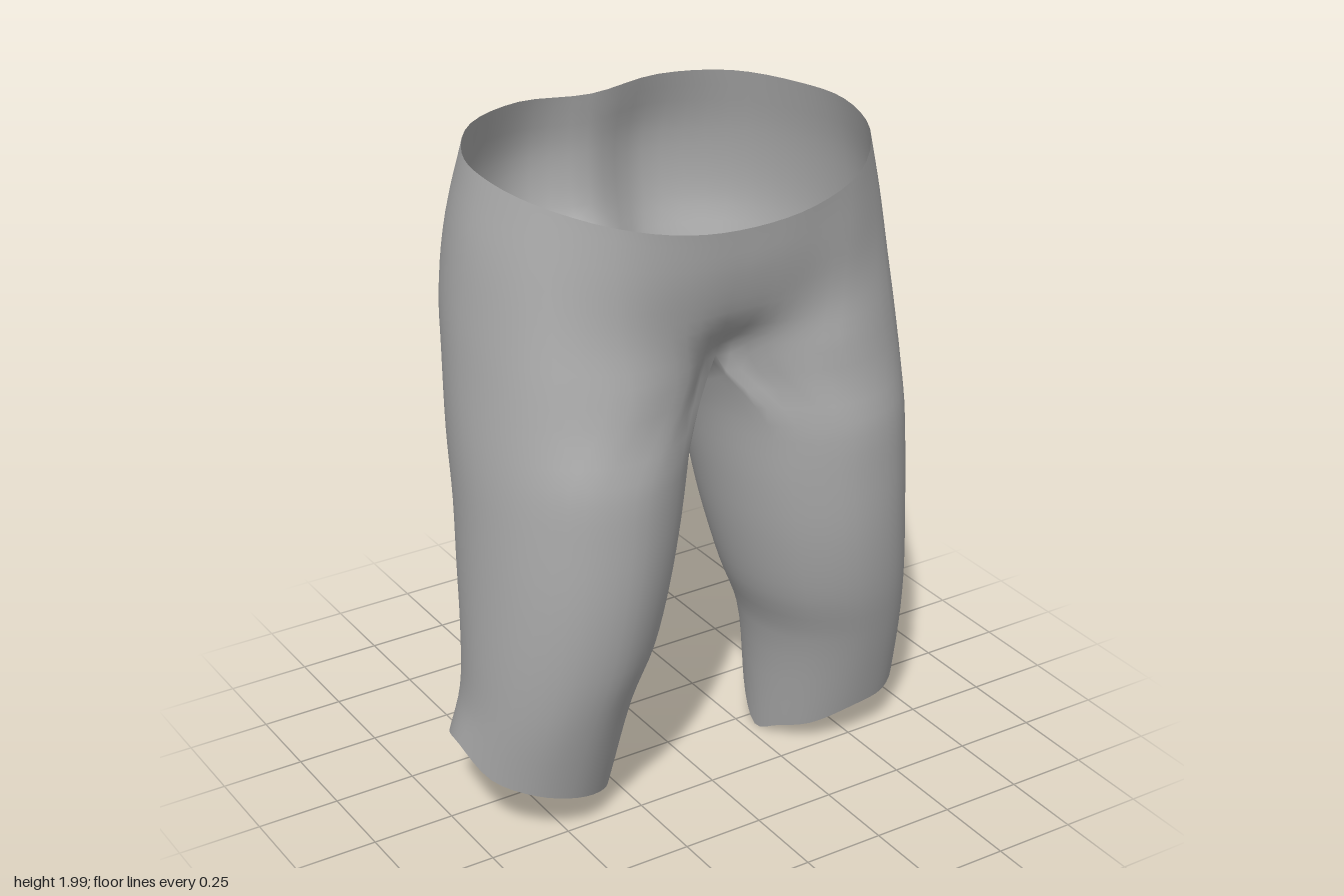
import * as THREE from 'three';
import { mergeVertices } from 'three/addons/utils/BufferGeometryUtils.js';

const V = (x, y, z) => new THREE.Vector3(x, y, z);
const OUT = 32, RING = 48, STEPS = 4;

// Column angles around a leg: front centre, outer side, back centre, inner thigh
const ANGLES = [130, 97.5, 65, 32.5, 0, -32.5, -65, -97.5, -130, -155, -180, -205];

// Uneven hem heights for each leg, one per column
const HEMS = {
  left: [0.08, 0.13, 0.14, 0.16, 0.19, 0.24, 0.23, 0.21, 0.2, 0.12, 0.01, 0.05],
  right: [0.1, 0.14, 0.18, 0.22, 0.29, 0.26, 0.22, 0.2, 0.17, 0.13, 0.09, 0.08],
};

// Leg sections: y, centre x, radius x, centre z, radius z
const LEG = [
  [0.42, 0.478, 0.243, 0.107, 0.267],
  [0.6, 0.44, 0.27, 0.122, 0.302],
  [0.8, 0.41, 0.29, 0.118, 0.337],
  [1.0, 0.387, 0.307, 0.107, 0.358],
  [1.2, 0.365, 0.325, 0.08, 0.38],
];

// Half sections of the hips from front centre to back centre: [x, y, z]
const CROTCH = [[0, 1.42, 0.27], [0.16, 1.42, 0.38], [0.37, 1.42, 0.425], [0.6, 1.42, 0.29], [0.675, 1.42, 0.04],
  [0.62, 1.42, -0.17], [0.44, 1.42, -0.345], [0.2, 1.43, -0.395], [0, 1.45, -0.27]];
const HIP = [[0, 1.57, 0.385], [0.18, 1.57, 0.4], [0.38, 1.585, 0.397], [0.58, 1.6, 0.27], [0.66, 1.6, 0.03],
  [0.615, 1.6, -0.18], [0.46, 1.6, -0.37], [0.22, 1.6, -0.46], [0, 1.6, -0.38]];
const SEAT = [[0, 1.72, 0.435], [0.19, 1.73, 0.43], [0.39, 1.76, 0.39], [0.565, 1.79, 0.24], [0.632, 1.8, 0.03],
  [0.59, 1.8, -0.17], [0.45, 1.8, -0.36], [0.22, 1.8, -0.465], [0, 1.8, -0.41]];
const WAIST = [[0, 1.86, 0.455], [0.2, 1.875, 0.445], [0.39, 1.915, 0.385], [0.54, 1.96, 0.22], [0.585, 1.985, 0.03],
  [0.55, 1.99, -0.14], [0.43, 2, -0.31], [0.23, 2, -0.395], [0, 1.985, -0.385]];
// Seam under the crotch, from back to front
const SEAM = [[0, 1.45, -0.27], [0, 1.34, -0.1], [0, 1.3, 0.04], [0, 1.34, 0.16], [0, 1.42, 0.27]];

function legRing([y, cx, rx, cz, rz], hem) {
  const pts = ANGLES.map((deg, i) => {
    const a = THREE.MathUtils.degToRad(deg);
    return V(cx + rx * Math.cos(a), hem ? hem[i] : y, cz + rz * Math.sin(a));
  });
  const curve = new THREE.CatmullRomCurve3(pts, true);
  return Array.from({ length: RING }, (_, j) => curve.getPoint(j / RING));
}

// Mirrored end points keep the centre line smooth
function halfRing(table) {
  const p = table.map(a => V(...a));
  const ghost = q => V(-q.x, q.y, q.z);
  const curve = new THREE.CatmullRomCurve3([ghost(p[1]), ...p, ghost(p[7])]);
  return Array.from({ length: OUT + 1 }, (_, j) => curve.getPoint((1 + 8 * j / OUT) / 10));
}

// Adds one leg with its half of the hips to the triangle list
function addHalf(out, hem, side) {
  const seam = new THREE.CatmullRomCurve3(SEAM.map(a => V(...a)));
  const crotch = halfRing(CROTCH);
  for (let j = 1; j < RING - OUT; j++) crotch.push(seam.getPoint(j / (RING - OUT)));
  const rings = [legRing([0, 0.515, 0.23, 0.055, 0.232], hem), ...LEG.map(s => legRing(s)),
    crotch, halfRing(HIP), halfRing(SEAT), halfRing(WAIST)];
  const split = (LEG.length + 1) * STEPS;

  // Smooth curve up each column
  const columns = Array.from({ length: RING }, (_, j) => {
    const keys = rings.filter(r => j < r.length).map(r => r[j]);
    const curve = new THREE.CatmullRomCurve3(keys);
    const n = (keys.length - 1) * STEPS;
    return Array.from({ length: n + 1 }, (_, i) => {
      const p = curve.getPoint(i / n);
      const onCentre = i >= split && (j === 0 || j >= OUT);
      p.x = onCentre ? 0 : Math.max(0, p.x) * side;
      return p;
    });
  });

  const top = columns[0].length - 1;
  for (let i = 0; i < top; i++) {
    const count = i < split ? RING : OUT;
    for (let j = 0; j < count; j++) {
      const A = columns[j], B = columns[(j + 1) % RING];
      const quad = [A[i], B[i], B[i + 1], A[i], B[i + 1], A[i + 1]];
      if (side < 0) quad.reverse();
      quad.forEach(p => out.push(p.x, p.y, p.z));
    }
  }
}

export function createModel() {
  const group = new THREE.Group();
  group.name = 'trousers';
  const cloth = new THREE.MeshStandardMaterial({ color: 0xaaaaaa, side: THREE.DoubleSide });
  cloth.name = 'grey cloth';

  const positions = [];
  addHalf(positions, HEMS.left, 1);
  addHalf(positions, HEMS.right, -1);

  let geometry = new THREE.BufferGeometry();
  geometry.setAttribute('position', new THREE.Float32BufferAttribute(positions, 3));
  geometry = mergeVertices(geometry, 1e-4);

  // The hips sit slightly to one side of the hems
  const pos = geometry.attributes.position;
  for (let i = 0; i < pos.count; i++) {
    pos.setX(i, pos.getX(i) - 0.015 * THREE.MathUtils.smoothstep(pos.getY(i), 0.2, 0.9));
  }
  geometry.computeVertexNormals();

  const mesh = new THREE.Mesh(geometry, cloth);
  mesh.name = 'trouserShell';
  group.add(mesh);
  return group;
}
